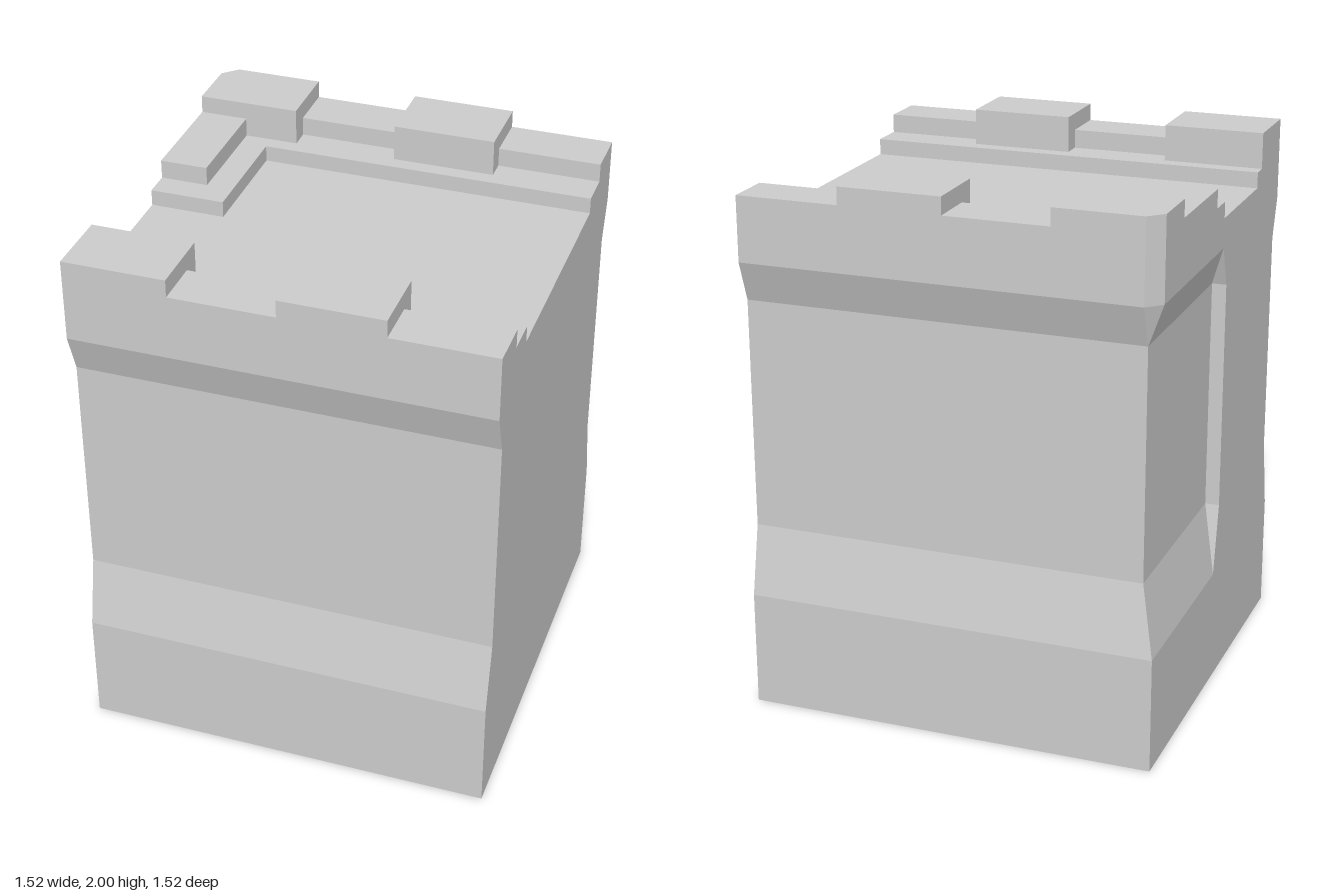
import * as THREE from 'three';

const H = 0.762;    // half width of the block
const D = 0.053;    // depth of the recessed wall and of the corner chamfer

const stone = new THREE.MeshStandardMaterial({ color: 0xcccccc, flatShading: true });

// Outline at one height: d is the wall inset, c the chamfer of the back corner.
// The recess on the -x side runs from the back corner to the middle only.
function ring(y, d, c) {
  const b = H - d;
  return [
    [-b + c, -b], [H, -b], [H, b], [-H, b], [-H, d], [-b, d], [-b, -b + c],
  ].map(([x, z]) => new THREE.Vector3(x, y, z));
}

// Tower block lofted through the outlines, with flat faces
function bodyGeometry() {
  const rings = [
    ring(0, 0, 0), ring(0.43, 0, 0), ring(0.69, D, 0),
    ring(1.545, D, 0), ring(1.695, 0, D), ring(1.805, 0, D),
  ];
  const points = [];
  const tri = (a, b, c) => {
    if (new THREE.Triangle(a, b, c).getArea() > 1e-7) points.push(a, b, c);
  };
  const n = rings[0].length;
  for (let r = 0; r < rings.length - 1; r++) {
    const lo = rings[r], hi = rings[r + 1];
    for (let i = 0; i < n; i++) {
      const j = (i + 1) % n;
      tri(lo[i], hi[i], lo[j]);
      tri(lo[j], hi[i], hi[j]);
    }
  }
  // Bottom and top caps, fanned from the front corner
  const bottom = rings[0], top = rings[rings.length - 1];
  for (let k = 1; k < n - 1; k++) {
    const i = (2 + k) % n, j = (3 + k) % n;
    tri(bottom[2], bottom[i], bottom[j]);
    tri(top[2], top[j], top[i]);
  }
  const g = new THREE.BufferGeometry().setFromPoints(points);
  g.computeVertexNormals();
  return g;
}

// Slab with a plan outline in x, z between two heights
function slab(outline, y0, y1) {
  const shape = new THREE.Shape(outline.map(([x, z]) => new THREE.Vector2(x, -z)));
  const g = new THREE.ExtrudeGeometry(shape, { depth: y1 - y0, bevelEnabled: false });
  return g.rotateX(-Math.PI / 2).translate(0, y0, 0);
}

const rect = (x0, x1, z0, z1) => [[x0, z0], [x1, z0], [x1, z1], [x0, z1]];

export function createModel() {
  const model = new THREE.Group();
  model.name = 'towerBlock';
  const add = (name, geometry) => {
    const mesh = new THREE.Mesh(geometry, stone);
    mesh.name = name;
    model.add(mesh);
  };

  const Y = [1.805, 1.865, 1.935, 2];       // floor, step, wall top, merlon top
  const mA = -0.385, mB = 0, mC = 0.38;     // merlon edges along x
  const mz = 0.505, wz = 0.58, sz = 0.447;  // inner edges of merlon, wall and step
  const corner = [[-H, -H + D], [-H + D, -H]];  // chamfered back corner

  add('body', bodyGeometry());

  // Low steps inside the parapet; the back one turns along the -x side
  add('frontStep', slab(rect(-H, H, sz, H), Y[0], Y[1]));
  add('backStep', slab([
    ...corner, [H, -H], [H, -sz], [-0.485, -sz], [-0.485, 0], [-H, 0],
  ], Y[0], Y[1]));

  // Parapet walls, thicker beneath the merlons
  const wallEdge = [[H, wz], [mC, wz], [mC, mz], [mB, mz], [mB, wz], [mA, wz], [mA, mz]];
  add('frontParapet', slab([
    [-H, H], [H, H], ...wallEdge, [-H, mz],
  ], Y[1], Y[2]));
  add('backParapet', slab([
    ...corner, [H, -H], ...wallEdge.map(([x, z]) => [x, -z]),
    [-0.585, -mz], [-0.585, -0.1], [-H, -0.1],
  ], Y[1], Y[2]));

  // Merlons
  add('frontCornerMerlon', slab(rect(-H, mA, mz, H), Y[2], Y[3]));
  add('frontMerlon', slab(rect(mB, mC, mz, H), Y[2], Y[3]));
  add('backMerlon', slab(rect(mB, mC, -H, -mz), Y[2], Y[3]));
  add('backCornerMerlon', slab([
    ...corner, [mA, -H], [mA, -mz], [-H, -mz],
  ], Y[2], Y[3]));

  return model;
}
